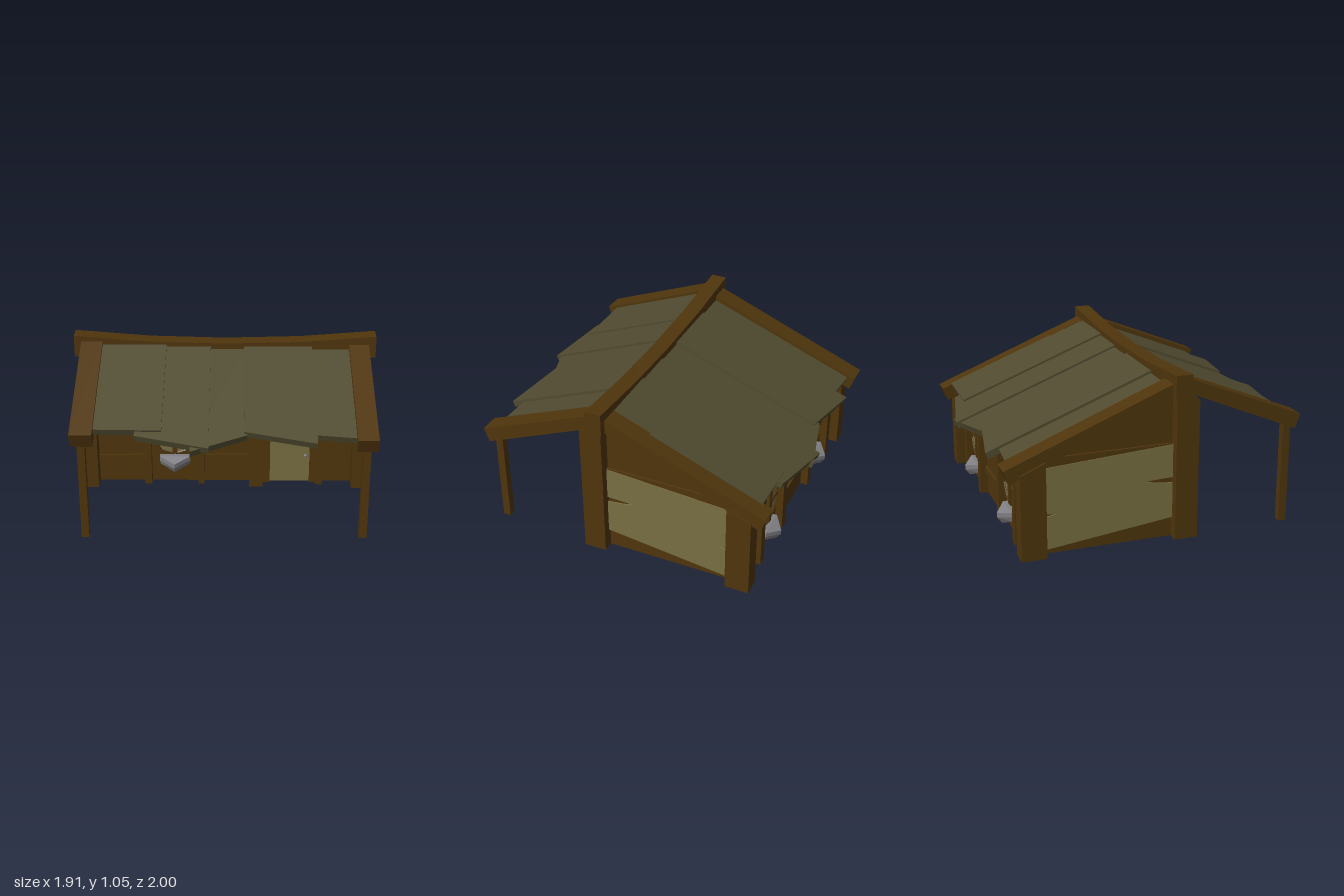
import * as THREE from 'three';
import { ConvexGeometry } from 'three/addons/geometries/ConvexGeometry.js';

const material = (name, color) => {
  const m = new THREE.MeshStandardMaterial({ color });
  m.name = name;
  return m;
};

export function createModel() {
  const wood = material('brown timber', 0x4f350c);
  const plaster = material('tan plaster', 0x796f42);
  const roofing = material('olive roof boards', 0x504b30);
  const stone = material('grey stone', 0x808084);
  const house = new THREE.Group();
  house.name = 'house';

  const add = (name, geometry, mat, parent = house) => {
    const mesh = new THREE.Mesh(geometry, mat);
    mesh.name = name;
    parent.add(mesh);
    return mesh;
  };
  // box given by its two corners
  const box = (name, mat, x0, x1, y0, y1, z0, z1, parent) => {
    const g = new THREE.BoxGeometry(x1 - x0, y1 - y0, z1 - z0);
    g.translate((x0 + x1) / 2, (y0 + y1) / 2, (z0 + z1) / 2);
    return add(name, g, mat, parent);
  };
  // outline seen from the right side (-z, y), pushed out along x
  const sideExtrude = (name, mat, points, x0, x1) => {
    const shape = new THREE.Shape(points.map(([a, b]) => new THREE.Vector2(a, b)));
    const g = new THREE.ExtrudeGeometry(shape, { depth: x1 - x0, bevelEnabled: false });
    g.rotateY(Math.PI / 2).translate(x0, 0, 0);
    return add(name, g, mat);
  };
  // sloping slab from the ridge to an eave that may run askew
  const slab = (name, mat, dir, x0, x1, zTop, yTop, end0, end1, slope, thick) => {
    const g = new THREE.BoxGeometry(1, 1, 1);
    const p = g.attributes.position;
    for (let i = 0; i < p.count; i++) {
      const u = p.getX(i) + 0.5;
      const w = 0.5 + dir * p.getZ(i);
      const z = THREE.MathUtils.lerp(zTop, THREE.MathUtils.lerp(end0, end1, u), w);
      const y = yTop - slope * Math.abs(z - zTop);
      const low = p.getY(i) < 0 ? thick : 0;
      p.setXYZ(i, x0 + (x1 - x0) * u, y - low, z - dir * low * 0.37 * w);
    }
    g.computeVertexNormals();
    return add(name, g, mat);
  };

  // main body with gable ends
  sideExtrude('body', wood, [[-0.15, 0], [0.78, 0], [0.78, 0.572], [-0.13, 0.925], [-0.15, 0.925]], -0.85, 0.85);

  // corner posts, porch posts and plastered side panels
  const frontPost = [[-0.255, 0], [-0.11, 0], [-0.11, 0.92], [-0.19, 0.915], [-0.255, 0.88]];
  const backPost = [[0.7, 0], [0.855, 0], [0.855, 0.535], [0.7, 0.6]];
  const panel = [[-0.12, 0.13], [0.71, 0.03], [0.71, 0.238], [0.63, 0.25], [0.71, 0.262], [0.71, 0.545],
    [-0.12, 0.6], [-0.12, 0.39], [0.0, 0.386], [0.07, 0.38], [0.0, 0.365], [-0.12, 0.352]];
  for (const s of [-1, 1]) {
    const span = (a, b) => (s > 0 ? [a, b] : [-b, -a]);
    sideExtrude('frontCornerPost', wood, frontPost, ...span(0.835, 0.922));
    sideExtrude('backCornerPost', wood, backPost, ...span(0.81, 0.922));
    box('porchPost', wood, ...span(0.825, 0.872), 0, 0.64, 0.84, 0.89);
    box('sideRail', wood, ...span(0.84, 0.865), 0.54, 0.605, -0.71, 0.12);
    sideExtrude('sidePanel', plaster, panel, ...span(0.86, 0.869));
  }

  // sagging ridge beam
  const ridge = new THREE.BoxGeometry(1.91, 0.14, 0.105, 4, 1, 1);
  const rp = ridge.attributes.position;
  for (let i = 0; i < rp.count; i++) {
    rp.setY(i, rp.getY(i) + 0.93 + 0.05 * (rp.getX(i) / 0.955) ** 2);
  }
  ridge.translate(0, 0, 0.14);
  ridge.computeVertexNormals();
  add('ridgeBeam', ridge, wood);

  // end rafters
  for (const [x0, x1, lift, front, back] of [[-0.91, -0.775, 0.018, 0.935, -0.95], [0.785, 0.91, 0, 0.945, -0.94]]) {
    slab('frontRafter', wood, 1, x0, x1, 0.15, 1.01 + lift, front, front, 0.4, 0.09);
    slab('backRafter', wood, -1, x0, x1, 0.13, 1.005, back, back, 0.4, 0.085);
  }

  // overlapping roof boards: left x, right x, eave z at each, top height
  const frontBoards = [
    [-0.8, -0.37, 0.87, 0.875, 0.997], [-0.53, -0.09, 0.9, 0.99, 0.984], [-0.2, 0.14, 0.998, 0.875, 0.969],
    [0.12, 0.55, 0.87, 0.955, 0.986], [0.4, 0.8, 0.86, 0.895, 0.968],
  ];
  const backBoards = [
    [-0.8, -0.45, -0.9, -0.875, 0.962], [-0.55, -0.115, -0.965, -0.885, 0.978], [-0.17, 0.21, -0.9, -0.995, 0.962],
    [0.105, 0.54, -1, -0.91, 0.976], [0.385, 0.8, -0.885, -0.88, 0.99],
  ];
  for (const [x0, x1, e0, e1, y] of frontBoards) slab('frontRoofBoard', roofing, 1, x0, x1, 0.18, y, e0, e1, 0.4, 0.04);
  for (const [x0, x1, e0, e1, y] of backBoards) slab('backRoofBoard', roofing, -1, x0, x1, 0.1, y, e0, e1, 0.388, 0.042);

  // round window with frame, cross bars and a stone planter below
  const addWindow = (x, y, z, turn) => {
    const g = new THREE.Group();
    g.name = 'window';
    g.position.set(x, y, z);
    g.rotation.y = turn;
    house.add(g);
    const pane = new THREE.CylinderGeometry(0.148, 0.148, 0.008, 10);
    pane.rotateX(Math.PI / 2).translate(0, 0, 0.006);
    add('pane', pane, plaster, g);
    const ring = new THREE.TorusGeometry(0.149, 0.006, 4, 10).toNonIndexed();
    ring.rotateZ(Math.PI / 2).computeVertexNormals();
    add('windowFrame', ring.translate(0, 0, 0.012), wood, g);
    box('uprightBar', wood, -0.017, 0.017, -0.14, 0.14, 0, 0.024, g);
    box('crossBar', wood, -0.14, 0.14, -0.008, 0.008, 0, 0.02, g);
    const points = [[0, 0.072, 0.102], [0, 0.04, 0.1], [0, 0, 0.07], [0, 0, 0]];
    for (const s of [-1, 1]) {
      points.push([s * 0.1, 0.1, 0], [s * 0.1, 0.1, 0.035], [s * 0.1, 0.07, 0.035], [s * 0.1, 0.04, 0], [s * 0.095, 0.04, 0.025]);
    }
    const planter = new ConvexGeometry(points.map((p) => new THREE.Vector3(...p)));
    add('planter', planter.translate(0, -0.26, 0), stone, g);
  };
  addWindow(-0.332, 0.355, 0.15, 0);
  for (const x of [-0.445, 0.43]) addWindow(x, 0.315, -0.78, Math.PI);

  // front framing
  box('frontHeader', wood, -0.84, 0.84, 0.52, 0.61, 0.14, 0.19);
  for (const [a, b] of [[-0.53, -0.485], [-0.178, -0.138], [0.6, 0.645]]) box('frontStud', wood, a, b, 0, 0.53, 0.14, 0.205);
  box('frontPillar', wood, 0.16, 0.25, 0, 0.65, 0.14, 0.24);

  // back framing
  box('backHeader', wood, -0.84, 0.84, 0.47, 0.54, -0.805, -0.77);
  for (const x of [-0.65, -0.27, 0.235, 0.62]) box('backStud', wood, x - 0.03, x + 0.03, 0, 0.55, -0.83, -0.77);

  // slightly tilted wall planks
  const plank = (x0, x1, y, z, tilt) => {
    const g = new THREE.BoxGeometry(x1 - x0, 0.047, 0.03).rotateZ(tilt);
    add('wallPlank', g.translate((x0 + x1) / 2, y, z), wood);
  };
  for (const y of [0.17, 0.325]) {
    plank(-0.84, -0.53, y, 0.15, 0.015);
    plank(-0.14, 0.16, y + 0.005, 0.15, 0.02);
    plank(-0.83, -0.66, y, -0.782, 0.015);
    plank(-0.25, 0.22, y, -0.782, -0.012);
    plank(0.63, 0.83, y, -0.782, 0.015);
  }

  // door, its frame and knob
  box('door', plaster, 0.298, 0.56, 0.002, 0.442, 0.145, 0.16);
  box('doorJamb', wood, 0.25, 0.298, 0, 0.478, 0.14, 0.175);
  box('doorJamb', wood, 0.56, 0.6, 0, 0.478, 0.14, 0.175);
  box('doorLintel', wood, 0.298, 0.56, 0.442, 0.478, 0.14, 0.175);
  add('doorKnob', new THREE.SphereGeometry(0.011, 8, 6).translate(0.533, 0.195, 0.168), stone);

  return house;
}
